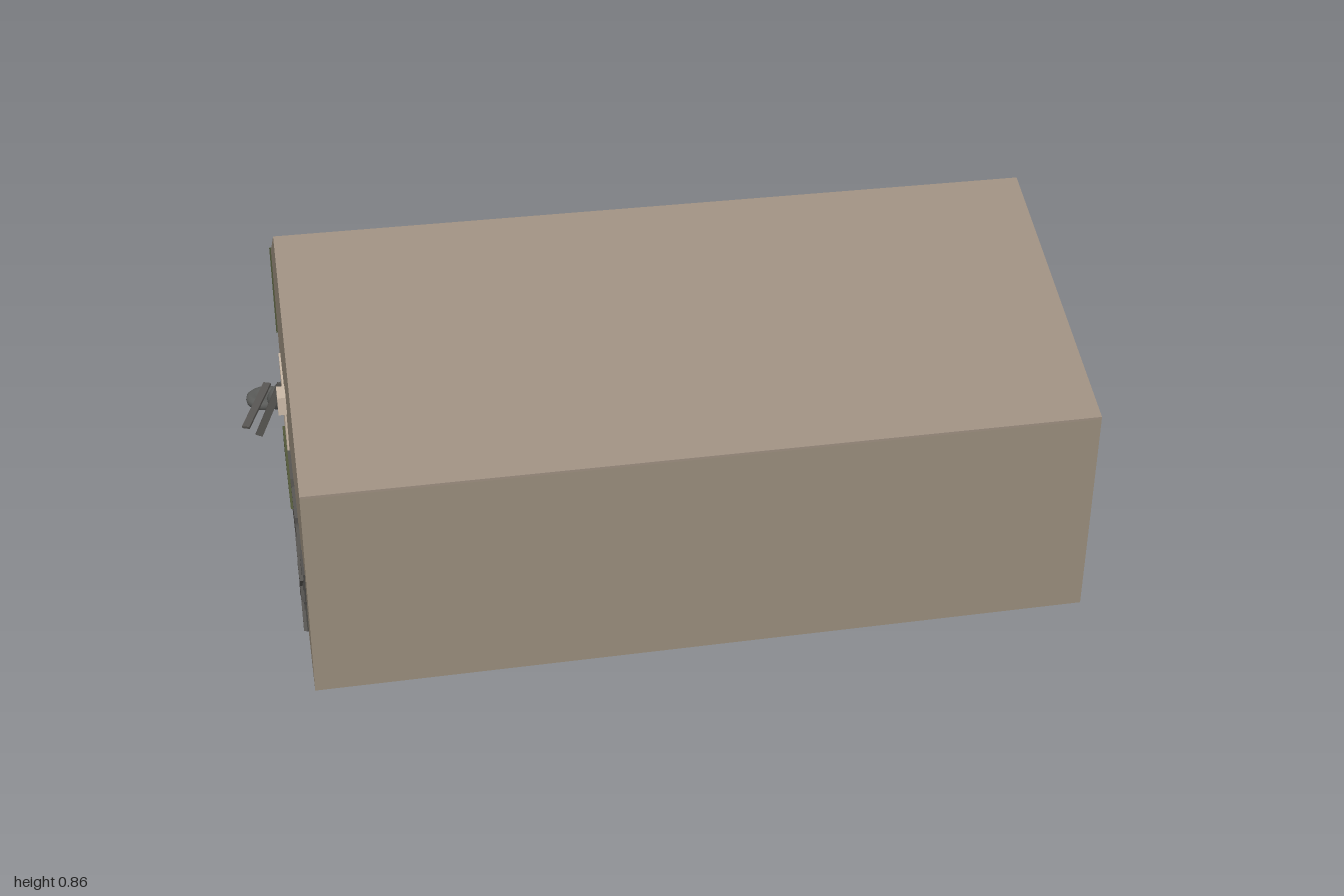
import * as THREE from 'three';

const mat = (name, color, side = THREE.FrontSide) => {
  const m = new THREE.MeshStandardMaterial({ color, side });
  m.name = name;
  return m;
};

export function createModel() {
  const group = new THREE.Group();
  const wall = mat('wall tan', 0x968a79);
  const roofing = mat('roof tan', 0x998b7d);
  const pale = mat('pale door', 0xc9b8a6);
  const green = mat('tarp green', 0x4f5538, THREE.DoubleSide);
  const rubber = mat('rubber grey', 0x5a5b59);
  const iron = mat('iron grey', 0x555350);

  const add = (name, geometry, material, x = 0, y = 0, z = 0) => {
    const mesh = new THREE.Mesh(geometry, material);
    mesh.name = name;
    mesh.position.set(x, y, z);
    group.add(mesh);
    return mesh;
  };

  // Outline given as [z, y], extruded towards -x
  const plateAlongX = (points, depth) =>
    new THREE.ExtrudeGeometry(
      new THREE.Shape(points.map((p) => new THREE.Vector2(...p))),
      { depth, bevelEnabled: false }
    ).rotateY(-Math.PI / 2);

  // Square bar between two points
  const bar = (name, from, to, width, thick, material = iron) => {
    const a = new THREE.Vector3(...from), b = new THREE.Vector3(...to);
    const mesh = add(name, new THREE.BoxGeometry(width, thick, a.distanceTo(b)), material);
    mesh.position.copy(a).add(b).multiplyScalar(0.5);
    mesh.lookAt(b);
    return mesh;
  };

  // Gabled building with its roof flush to the walls
  const back = -0.58, front = 0.73, ridge = 0.075, eave = 0.53, top = 0.867, t = 0.006;
  add('walls', plateAlongX([
    [back, 0.005], [front, 0.005], [front, eave - t], [ridge, top - t], [back, eave - t],
  ], 1.876), wall, 1);
  add('roof', plateAlongX([
    [back, eave - t], [ridge, top - t], [front, eave - t],
    [front, eave], [ridge, top], [back, eave],
  ], 1.876), roofing, 1);

  // Door and lamp box on the gable
  const gx = -0.876;
  add('door', new THREE.BoxGeometry(0.006, 0.28, 0.23), pale, gx - 0.002, 0.145, -0.325);
  add('wallBox', new THREE.BoxGeometry(0.022, 0.05, 0.065), pale, gx - 0.011, 0.305, -0.132);

  // Triangular tarps on the back wall and the gable
  const tarp = new THREE.Shape([
    new THREE.Vector2(-0.88, 0.275), new THREE.Vector2(-0.37, 0.536), new THREE.Vector2(-0.88, 0.536),
  ]);
  add('backTarp', new THREE.ExtrudeGeometry(tarp, { depth: 0.004, bevelEnabled: false }),
    green, 0, 0, back - 0.005);
  add('gableTarp', plateAlongX([[-0.05, 0.21], [0.27, 0.22], [-0.05, 0.275]], 0.006), green, gx - 0.009);

  // Scrap hung along the gable
  add('scrapPanel', plateAlongX([
    [-0.07, 0.19], [0.03, 0.06], [0.09, 0.08], [0.24, 0.085],
    [0.25, 0.18], [0.14, 0.205], [0.06, 0.18],
  ], 0.008), iron, gx);
  add('scrapDisc', new THREE.CylinderGeometry(0.05, 0.05, 0.008, 16).rotateZ(Math.PI / 2),
    iron, gx - 0.004, 0.16, 0.335);
  add('scrapPlate', plateAlongX([
    [0.45, 0.06], [0.54, 0.04], [0.56, 0.13], [0.6, 0.24], [0.46, 0.22], [0.47, 0.14],
  ], 0.006), iron, gx);
  const sx = gx - 0.008;
  bar('crossRod', [sx, 0.08, 0.43], [sx, 0.24, 0.61], 0.008, 0.014);
  bar('crossRod', [sx, 0.25, 0.45], [sx, 0.07, 0.58], 0.008, 0.014);
  bar('crossRod', [sx, 0.16, 0.42], [sx, 0.18, 0.61], 0.008, 0.014);
  bar('lowRail', [gx, 0.07, -0.05], [gx, 0.07, 0.42], 0.006, 0.006);

  // Rounded tyre with a sunken hub
  const tyre = new THREE.LatheGeometry([
    [0, -0.01], [0.026, -0.01], [0.03, -0.015], [0.046, -0.015], [0.054, -0.009], [0.056, 0],
    [0.054, 0.009], [0.046, 0.015], [0.03, 0.015], [0.026, 0.01], [0, 0.01],
  ].map((p) => new THREE.Vector2(...p)), 24);
  add('flatTyre', tyre, rubber, -0.925, 0.021, -0.677);
  const leaning = add('leaningTyre', tyre, rubber, -0.869, 0.058, -0.622);
  leaning.quaternion.setFromUnitVectors(
    new THREE.Vector3(0, 1, 0), new THREE.Vector3(-0.4, 0.38, -0.83).normalize());

  // Loose planks by the corner
  bar('fallenPlank', [-0.988, 0.008, -0.537], [-0.917, 0.058, -0.695], 0.022, 0.008);
  bar('leaningPlank', [-0.953, 0.008, -0.487], [-0.881, 0.165, -0.487], 0.008, 0.02)
    .rotateZ(Math.PI / 2).rotateZ(Math.PI / 2);

  return group;
}
